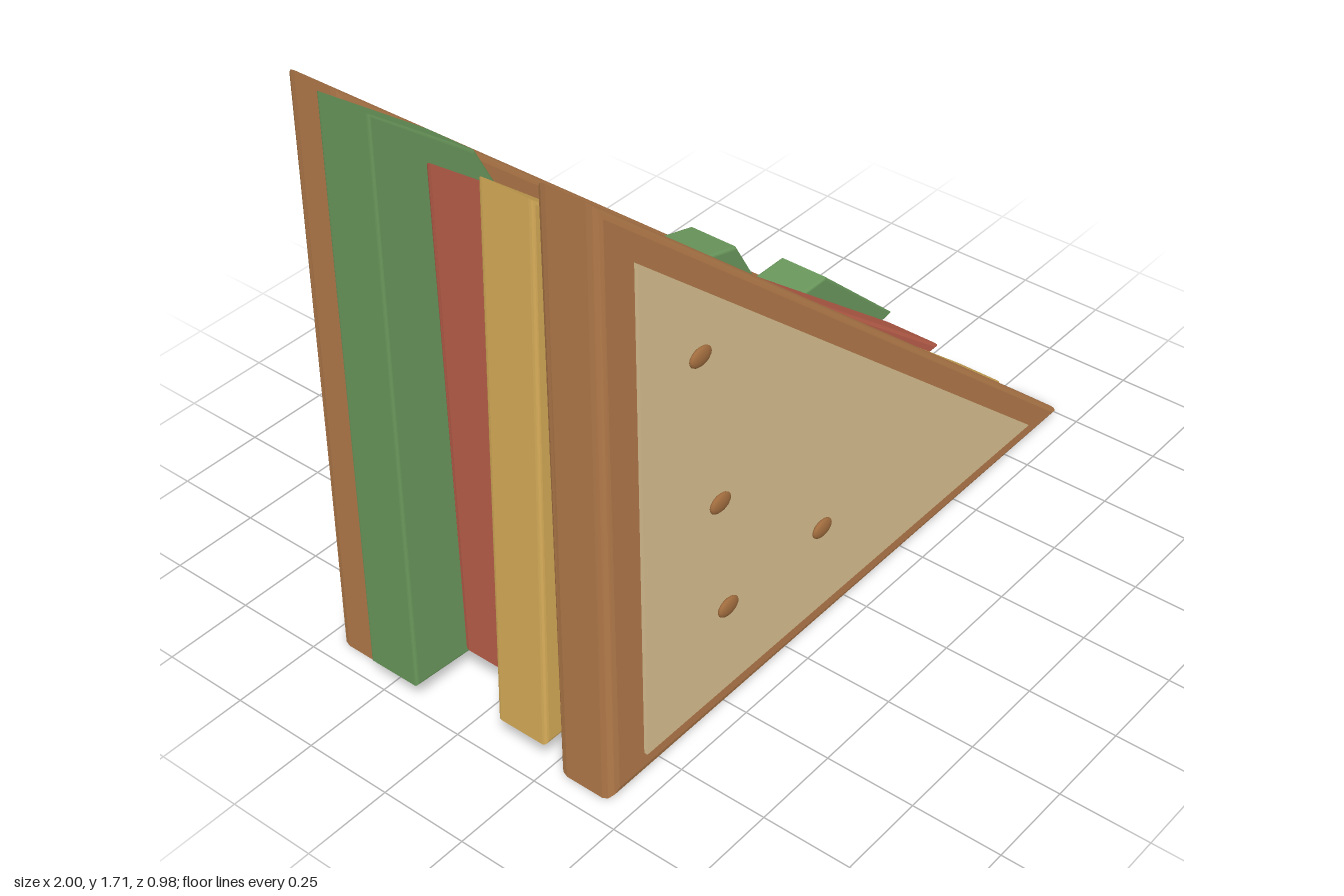
import * as THREE from 'three';

const paint = (color) => new THREE.MeshStandardMaterial({ color });
const crust = paint(0xb27a4a);
const crumb = paint(0xd8c090);
const cheese = paint(0xd6ac58);
const meat = paint(0xbb5f4a);
const leaf = paint(0x6a985c);
const seedBrown = paint(0xa06c3e);

// Slab with the given outer outline (counter-clockwise), filling z0..z1,
// its edges rounded inwards by the bevel.
function slab(name, outline, z0, z1, bevel, material) {
  const shape = new THREE.Shape(outline.map(([x, y]) => new THREE.Vector2(x, y)));
  const geometry = new THREE.ExtrudeGeometry(shape, {
    depth: z1 - z0 - 2 * bevel,
    bevelEnabled: bevel > 0,
    bevelSize: bevel,
    bevelThickness: bevel,
    bevelOffset: -bevel,
    bevelSegments: 3,
  });
  geometry.translate(0, 0, z0 + bevel);
  const mesh = new THREE.Mesh(geometry, material);
  mesh.name = name;
  return mesh;
}

export function createModel() {
  const sandwich = new THREE.Group();
  sandwich.name = 'sandwich';

  // Bread slices and the pale panels just outside them
  const bread = [[-0.94, 0], [1, 0.015], [-0.93, 1.675]];
  const panel = [[-0.84, 0.1], [0.79, 0.1], [-0.84, 1.5]];
  sandwich.add(
    slab('frontBread', bread, 0.272, 0.443, 0.03, crust),
    slab('backBread', bread, -0.461, -0.29, 0.03, crust),
    slab('frontCrumb', panel, 0.461, 0.471, 0, crumb),
    slab('backCrumb', panel, -0.489, -0.479, 0, crumb),
  );

  // Cheese and meat, each turned slightly against the bread
  sandwich.add(
    slab('cheese', [[-0.97, 0.1], [0.965, 0.05], [-0.93, 1.62]], 0.111, 0.267, 0.012, cheese),
    slab('meat', [[-0.855, 0.12], [0.91, 0.13], [-0.87, 1.54]], -0.109, 0.09, 0.02, meat),
  );

  // Lettuce with a wavy bottom and a stepped cut edge
  const lettuce = [
    [-1, 0.08], [-0.45, 0.035], [0, 0.1], [0.45, 0.045], [0.98, 0.11],
    [0.65, 0.41], [0.43, 0.41], [0.25, 0.72], [-0.01, 0.79],
    [-0.2, 1.04], [-0.48, 1.07], [-0.69, 1.47], [-1, 1.71],
  ];
  sandwich.add(slab('lettuce', lettuce, -0.287, -0.129, 0.008, leaf));

  // Seeds on the front panel
  const seedGeometry = new THREE.SphereGeometry(1, 16, 10);
  for (const [x, y] of [[-0.65, 1.16], [-0.58, 0.705], [-0.55, 0.37], [-0.18, 0.37]]) {
    const seed = new THREE.Mesh(seedGeometry, seedBrown);
    seed.name = 'seed';
    seed.position.set(x, y, 0.482);
    seed.scale.set(0.037, 0.025, 0.011);
    sandwich.add(seed);
  }
  return sandwich;
}
